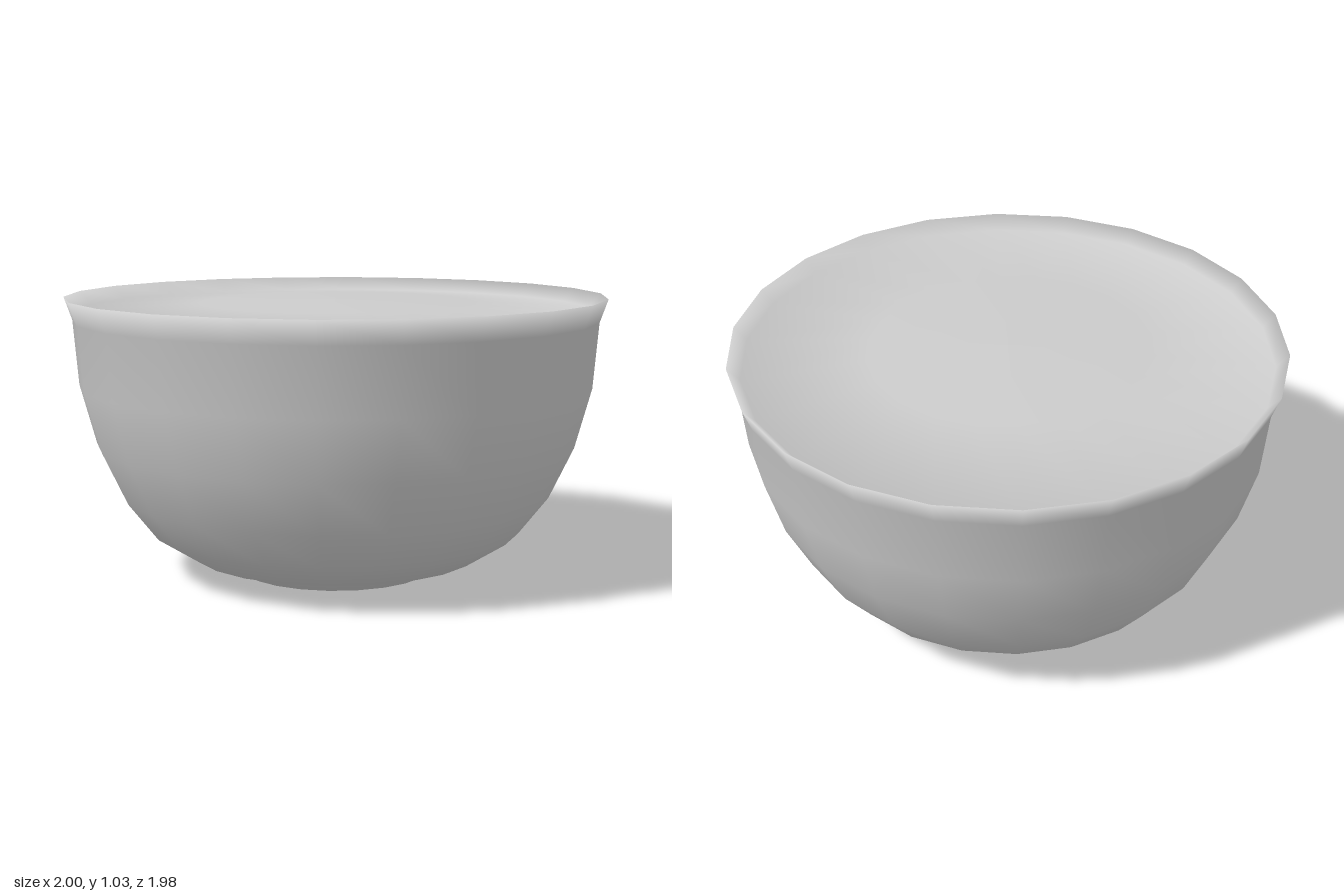
import * as THREE from 'three';

const SIDES = 22;

// Smooth lathed part, turned so that a corner lies on the x axis.
// Each ring's normal is the plain average of the two bands that meet there.
function lathed(name, profile, material) {
  const points = profile.map(([r, y]) => new THREE.Vector2(r, y));
  const geometry = new THREE.LatheGeometry(points, SIDES, Math.PI / 2);
  const bands = points.slice(1).map((p, j) => {
    const d = p.clone().sub(points[j]).normalize();
    return new THREE.Vector2(d.y, -d.x);
  });
  const normals = geometry.getAttribute('normal');
  for (let k = 0; k < normals.count; k++) {
    const j = k % points.length;
    const phi = Math.PI / 2 + Math.floor(k / points.length) * 2 * Math.PI / SIDES;
    const n = bands[Math.max(j - 1, 0)].clone().add(bands[Math.min(j, bands.length - 1)]).normalize();
    normals.setXYZ(k, n.x * Math.sin(phi), n.y, n.x * Math.cos(phi));
  }
  const mesh = new THREE.Mesh(geometry, material);
  mesh.name = name;
  return mesh;
}

export function createModel() {
  const group = new THREE.Group();
  group.name = 'filledBowl';
  const material = new THREE.MeshStandardMaterial({ color: 0xcccccc, side: THREE.DoubleSide });

  // Flat base, small foot, round belly, flared rim, inner lip,
  // then a filling that swells gently towards the middle
  group.add(lathed('bowl', [
    [0, 0], [0.36, 0], [0.39, 0.03], [0.54, 0.065], [0.69, 0.16],
    [0.8, 0.3], [0.89, 0.49], [0.95, 0.71], [0.97, 0.95],
    [1, 1.035], [0.955, 0.985], [0.5, 1.01], [0, 1.02],
  ], material));

  return group;
}
